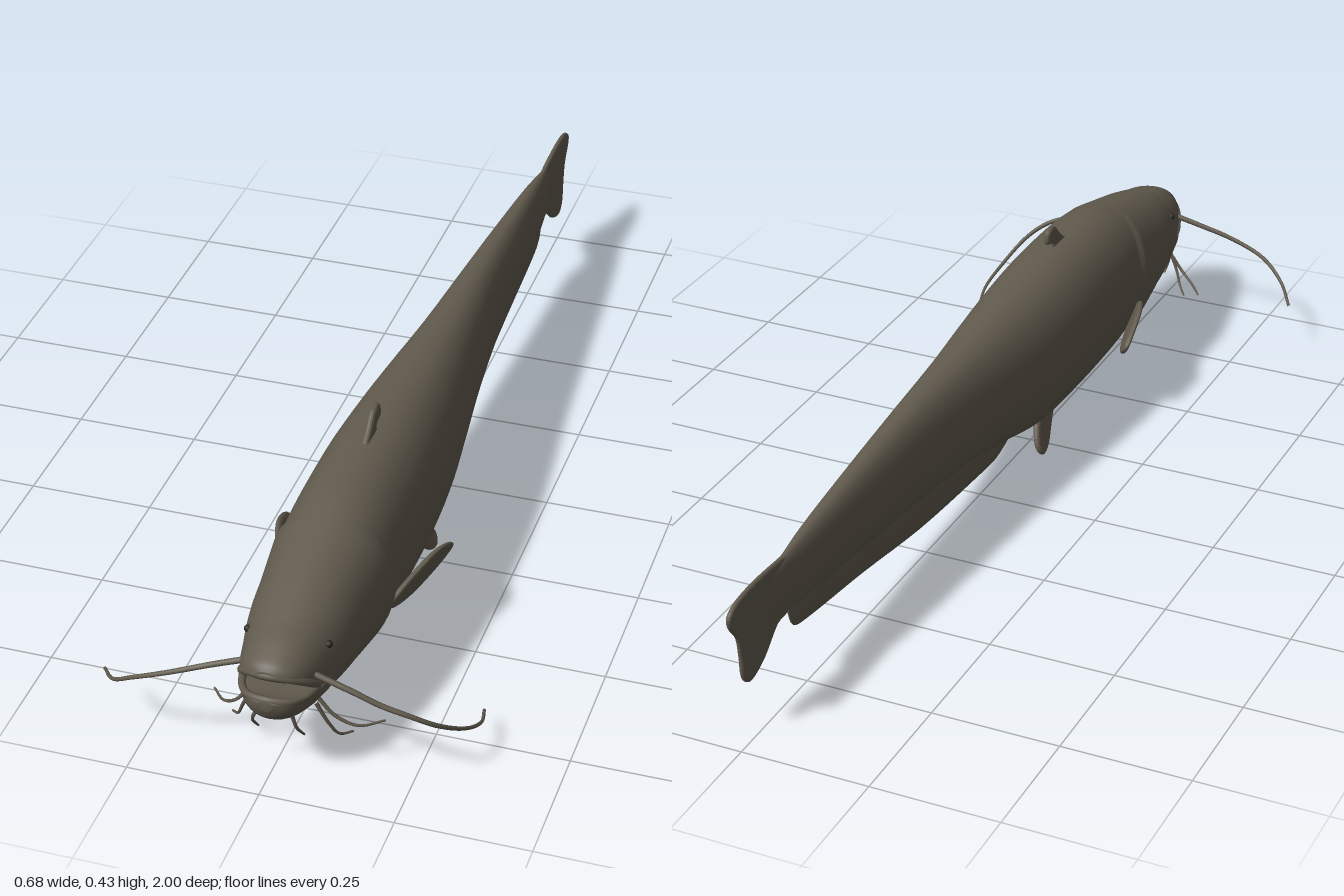
import * as THREE from 'three';

const CX = 0.016; // x of the fish's plane of symmetry
const skin = new THREE.MeshStandardMaterial({ color: 0x625b4e });
skin.name = 'olive brown skin';
const dark = new THREE.MeshStandardMaterial({ color: 0x2b2721 });
dark.name = 'dark eye';

// Smooth interpolation through rows of numbers, t from 0 to 1
function sample(keys, t) {
  const f = t * (keys.length - 1), i = Math.min(Math.floor(f), keys.length - 2), u = f - i;
  const at = (k) => keys[Math.max(0, Math.min(keys.length - 1, k))];
  const [p, a, b, n] = [at(i - 1), at(i), at(i + 1), at(i + 2)];
  return a.map((v, k) => {
    const m0 = (b[k] - p[k]) / 2, m1 = (n[k] - v) / 2, d = b[k] - v;
    return v + u * (m0 + u * (3 * d - 2 * m0 - m1 + u * (m0 + m1 - 2 * d)));
  });
}

// Closed loft along z; each key is [z, bottom, widest height, top, half width]
function loft(keys, steps, sides, swell = () => 1) {
  const pos = [], index = [];
  for (let i = 0; i <= steps; i++) {
    const [z, yb, ym, yt, w] = sample(keys, i / steps);
    for (let j = 0; j < sides; j++) {
      const a = (j / sides) * Math.PI * 2, c = Math.cos(a), s = Math.sin(a);
      const y = ym + s * (s > 0 ? yt - ym : ym - yb);
      pos.push(CX + Math.sign(c) * Math.abs(c) ** 0.92 * w * swell(z, y), y, z);
    }
  }
  for (let i = 0; i < steps; i++) {
    for (let j = 0; j < sides; j++) {
      const k = (j + 1) % sides, a = i * sides + j, b = i * sides + k;
      index.push(a, b, a + sides, b, b + sides, a + sides);
    }
  }
  // End caps
  const n = pos.length / 3, last = steps * sides;
  for (const key of [keys[0], keys[keys.length - 1]]) pos.push(CX, (key[1] + key[3]) / 2, key[0]);
  for (let j = 0; j < sides; j++) {
    const k = (j + 1) % sides;
    index.push(n, k, j, n + 1, last + j, last + k);
  }
  const geo = new THREE.BufferGeometry();
  geo.setAttribute('position', new THREE.Float32BufferAttribute(pos, 3));
  geo.setIndex(index);
  geo.computeVertexNormals();
  return geo;
}

// Thin fin outlined in (z, y); place(z, y) gives its x
function fin(points, thick, place) {
  const curve = new THREE.SplineCurve(points.map(([z, y]) => new THREE.Vector2(z, y)).concat(new THREE.Vector2(...points[0])));
  const bevel = thick * 0.45;
  const geo = new THREE.ExtrudeGeometry(new THREE.Shape(curve.getPoints(48).slice(0, -1)), {
    depth: thick - 2 * bevel, bevelThickness: bevel, bevelSize: thick * 0.6, bevelOffset: -thick * 0.6, bevelSegments: 3,
  });
  geo.translate(0, 0, -(thick - 2 * bevel) / 2).rotateY(-Math.PI / 2);
  const p = geo.attributes.position;
  for (let i = 0; i < p.count; i++) p.setX(i, p.getX(i) + CX + place(p.getZ(i), p.getY(i)));
  geo.computeVertexNormals();
  return geo;
}

// Tube along points, narrowing from radius r0 to r1
function whisker(points, r0, r1, segs = 32, sides = 8) {
  const curve = new THREE.CatmullRomCurve3(points.map((p) => new THREE.Vector3(...p)));
  const geo = new THREE.TubeGeometry(curve, segs, r0, sides);
  const p = geo.attributes.position, v = new THREE.Vector3();
  for (let i = 0; i < p.count; i++) {
    const t = Math.floor(i / (sides + 1)) / segs, c = curve.getPointAt(t);
    v.fromBufferAttribute(p, i).sub(c).multiplyScalar(1 + (r1 / r0 - 1) * t).add(c);
    p.setXYZ(i, v.x, v.y, v.z);
  }
  return geo;
}

export function createModel() {
  const model = new THREE.Group();
  model.name = 'catfish';
  const add = (name, geo, mat = skin) => {
    const mesh = new THREE.Mesh(geo, mat);
    mesh.name = name;
    model.add(mesh);
    return mesh;
  };

  // Body, with a slight step behind the gill covers
  const gill = (z, y) => {
    const edge = 0.61 + 2.5 * (y - 0.24) ** 2;
    return z > edge ? 1 + 0.07 * Math.max(0, 1 - (z - edge) / 0.13) * Math.min(1, (z - edge) / 0.012) : 1;
  };
  add('body', loft([
    [-0.93, 0.19, 0.22, 0.26, 0.003],
    [-0.82, 0.175, 0.23, 0.283, 0.012],
    [-0.7, 0.165, 0.235, 0.303, 0.026],
    [-0.5, 0.15, 0.235, 0.325, 0.04],
    [-0.3, 0.135, 0.235, 0.343, 0.053],
    [-0.1, 0.115, 0.23, 0.354, 0.071],
    [0.06, 0.085, 0.225, 0.365, 0.09],
    [0.2, 0.055, 0.22, 0.375, 0.105],
    [0.35, 0.054, 0.22, 0.384, 0.114],
    [0.5, 0.059, 0.22, 0.385, 0.115],
    [0.6, 0.068, 0.22, 0.378, 0.113],
    [0.7, 0.088, 0.216, 0.356, 0.108],
    [0.8, 0.112, 0.212, 0.332, 0.1],
    [0.88, 0.132, 0.208, 0.309, 0.084],
    [0.92, 0.142, 0.208, 0.295, 0.071],
  ], 168, 48, gill));

  // Open mouth: snout above, jaw below
  add('snout', loft([
    [0.87, 0.2, 0.21, 0.311, 0.086],
    [0.92, 0.215, 0.222, 0.298, 0.073],
    [0.95, 0.23, 0.237, 0.287, 0.06],
    [0.972, 0.24, 0.248, 0.277, 0.043],
    [0.983, 0.25, 0.256, 0.266, 0.02],
  ], 28, 32));
  add('lowerJaw', loft([
    [0.87, 0.129, 0.204, 0.21, 0.086],
    [0.92, 0.14, 0.198, 0.205, 0.074],
    [0.96, 0.15, 0.2, 0.206, 0.058],
    [0.985, 0.168, 0.205, 0.212, 0.038],
    [0.998, 0.193, 0.207, 0.213, 0.014],
  ], 28, 32));
  const lip = (side) => side.map(([x, y, z]) => [CX - x, y, z])
    .concat(side.slice(0, -1).reverse().map(([x, y, z]) => [CX + x, y, z]));
  add('upperLip', whisker(lip([[0.07, 0.207, 0.915], [0.06, 0.231, 0.944], [0.037, 0.25, 0.968], [0, 0.257, 0.979]]), 0.008, 0.008));
  add('lowerLip', whisker(lip([[0.07, 0.203, 0.915], [0.056, 0.203, 0.955], [0.035, 0.208, 0.98], [0, 0.212, 0.99]]), 0.007, 0.007));

  // Fins on the centre line
  add('analFin', loft([
    [-0.785, 0.165, 0.175, 0.19, 0.003],
    [-0.765, 0.126, 0.18, 0.2, 0.006],
    [-0.7, 0.11, 0.18, 0.2, 0.009],
    [-0.5, 0.086, 0.17, 0.19, 0.013],
    [-0.25, 0.05, 0.155, 0.18, 0.017],
    [0, 0.032, 0.13, 0.16, 0.02],
    [0.1, 0.03, 0.11, 0.14, 0.02],
    [0.17, 0.048, 0.08, 0.1, 0.012],
  ], 64, 20));
  add('tailFin', fin([
    [-0.77, 0.286], [-0.88, 0.294], [-0.96, 0.291], [-0.997, 0.275], [-0.997, 0.25], [-0.972, 0.215], [-0.963, 0.17],
    [-0.957, 0.125], [-0.93, 0.106], [-0.88, 0.125], [-0.83, 0.165], [-0.78, 0.178],
  ], 0.011, () => 0));
  add('dorsalFin', fin([
    [0.455, 0.375], [0.42, 0.4], [0.39, 0.428], [0.36, 0.426], [0.357, 0.4], [0.38, 0.393], [0.385, 0.375],
  ], 0.014, () => 0));

  // Paired fins and eyes
  for (const [side, s] of [['left', 1], ['right', -1]]) {
    add(side + 'PectoralFin', fin([
      [0.625, 0.17], [0.57, 0.2], [0.5, 0.215], [0.44, 0.197], [0.41, 0.17], [0.44, 0.14], [0.51, 0.122], [0.58, 0.135],
    ], 0.013, (z, y) => s * (0.107 + 0.27 * (0.6 - z) + 0.4 * (y - 0.17))));
    add(side + 'PelvicFin', fin([
      [0.31, 0.08], [0.265, 0.04], [0.23, 0.01], [0.2, 0.003], [0.188, 0.025], [0.205, 0.06], [0.24, 0.095], [0.28, 0.1],
    ], 0.014, (z, y) => s * (0.043 + 0.3 * (0.07 - y))));
    add(side + 'Eye', new THREE.SphereGeometry(0.007, 14, 10), dark).position.set(CX + s * 0.075, 0.262, 0.87);
  }

  // Long upper barbels
  add('leftLongBarbel', whisker([
    [0.075, 0.238, 0.925], [0.15, 0.213, 0.925], [0.2, 0.19, 0.92], [0.25, 0.17, 0.91], [0.29, 0.14, 0.885],
    [0.325, 0.09, 0.82], [0.337, 0.06, 0.76], [0.328, 0.046, 0.71],
  ], 0.006, 0.003, 56));
  add('rightLongBarbel', whisker([
    [-0.04, 0.24, 0.925], [-0.1, 0.222, 0.935], [-0.18, 0.195, 0.948], [-0.25, 0.165, 0.945], [-0.3, 0.13, 0.92], [-0.34, 0.103, 0.865],
  ], 0.006, 0.003, 48));

  // Short chin barbels
  [
    [[0.078, 0.165, 0.9], [0.11, 0.13, 0.9], [0.15, 0.109, 0.89], [0.19, 0.107, 0.86]],
    [[0.078, 0.16, 0.91], [0.098, 0.11, 0.9], [0.113, 0.078, 0.885], [0.13, 0.068, 0.86]],
    [[-0.042, 0.165, 0.9], [-0.075, 0.122, 0.9], [-0.105, 0.102, 0.885], [-0.135, 0.095, 0.85]],
    [[-0.042, 0.16, 0.91], [-0.062, 0.115, 0.905], [-0.074, 0.088, 0.895], [-0.092, 0.073, 0.875]],
    [[-0.015, 0.158, 0.95], [-0.028, 0.125, 0.945], [-0.025, 0.095, 0.925]],
    [[0.047, 0.158, 0.95], [0.054, 0.125, 0.945], [0.061, 0.095, 0.925]],
  ].forEach((points, i) => add('chinBarbel' + (i + 1), whisker(points, 0.004, 0.002, 20)));

  return model;
}
